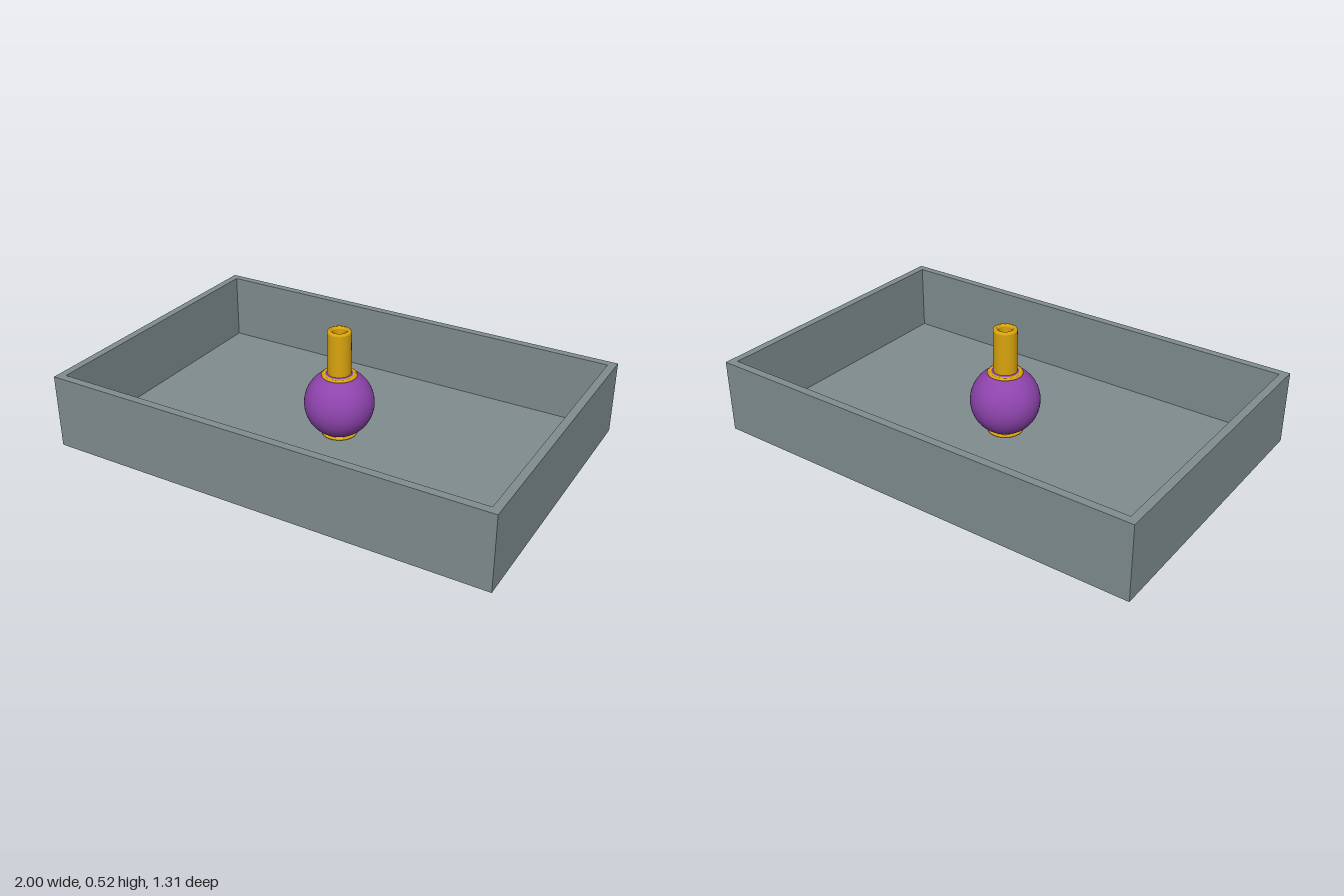
import * as THREE from 'three';

const grey = new THREE.MeshStandardMaterial({ color: 0x7f8c8d });
const gold = new THREE.MeshStandardMaterial({ color: 0xd9a40e, side: THREE.DoubleSide });
const purple = new THREE.MeshStandardMaterial({ color: 0x8e44ad });

const W = 2, D = 1.31, H = 0.33, WALL = 0.035, FLOOR = 0.026;

export function createModel() {
  const model = new THREE.Group();
  const add = (name, geometry, material, y = 0) => {
    const mesh = new THREE.Mesh(geometry, material);
    mesh.name = name;
    mesh.position.y = y;
    model.add(mesh);
    return mesh;
  };
  const lathe = (points, segments = 48) =>
    new THREE.LatheGeometry(points.map(([r, y]) => new THREE.Vector2(r, y)), segments);
  const rectangle = (Type, w, d) => new Type([
    new THREE.Vector2(-w / 2, -d / 2), new THREE.Vector2(w / 2, -d / 2),
    new THREE.Vector2(w / 2, d / 2), new THREE.Vector2(-w / 2, d / 2),
  ]);

  // Open tray: a hollow rectangular wall around a thin floor
  const outline = rectangle(THREE.Shape, W, D);
  outline.holes.push(rectangle(THREE.Path, W - 2 * WALL, D - 2 * WALL));
  const walls = new THREE.ExtrudeGeometry(outline, { depth: H, bevelEnabled: false });
  walls.rotateX(-Math.PI / 2);
  add('trayWalls', walls, grey);
  add('trayFloor', new THREE.BoxGeometry(W - 2 * WALL, FLOOR, D - 2 * WALL), grey, FLOOR / 2);

  // Ball standing on the floor
  add('ball', new THREE.SphereGeometry(0.152, 48, 32), purple, 0.177);

  // Flanges gripping the ball below and above
  const flange = [[0, 0], [0.07, 0], [0.07, 0], [0.077, 0.004], [0.077, 0.01],
    [0.07, 0.014], [0.07, 0.014], [0, 0.014]];
  add('lowerFlange', lathe(flange), gold, FLOOR);
  add('upperFlange', lathe(flange), gold, 0.303);

  // Hollow spout with softened rims; doubled points keep edges crisp
  add('spout', lathe([
    [0.052, 0.3], [0.052, 0.508], [0.052, 0.508], [0.05, 0.514], [0.044, 0.517],
    [0.044, 0.517], [0.038, 0.517], [0.038, 0.517], [0.033, 0.514], [0.03, 0.508],
    [0.03, 0.508], [0.03, 0.34],
  ]), gold);

  // Closed end inside the spout bore
  const plug = new THREE.CircleGeometry(0.03, 32);
  plug.rotateX(-Math.PI / 2);
  add('boreEnd', plug, grey, 0.34);

  return model;
}
